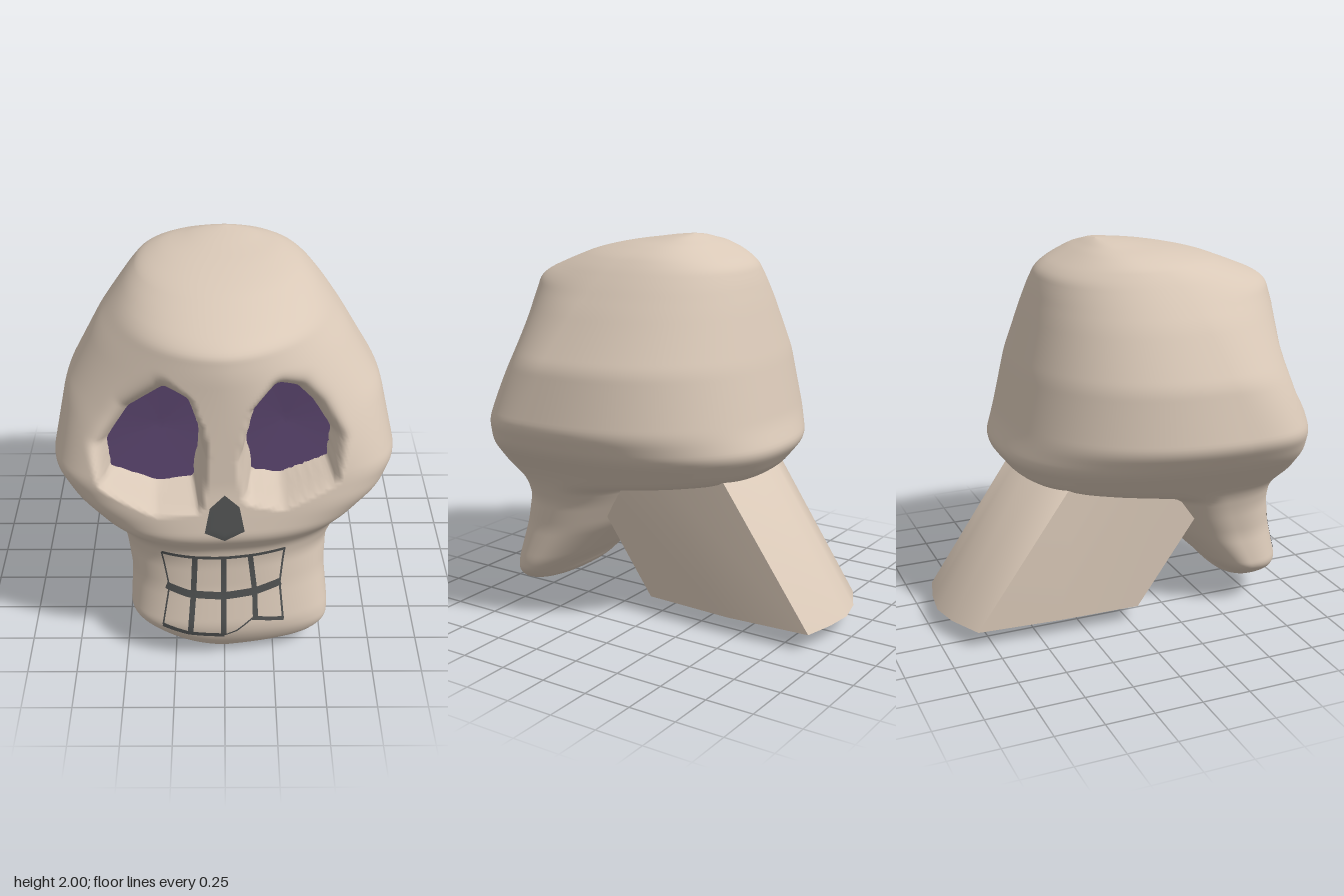
import * as THREE from 'three';
import { toCreasedNormals } from 'three/addons/utils/BufferGeometryUtils.js';

// Head profile by height: [y, left half width, right half width, front z, back z, widest z, front squareness]
const PROFILE = [
  [2.0, 0, 0, -0.04, -0.04, -0.04, 2],
  [1.985, 0.17, 0.18, 0.13, -0.09, 0, 2],
  [1.93, 0.34, 0.4, 0.47, -0.2, 0.1, 2],
  [1.86, 0.43, 0.47, 0.66, -0.33, 0.18, 2],
  [1.77, 0.51, 0.54, 0.88, -0.37, 0.23, 1.9],
  [1.65, 0.6, 0.63, 0.9, -0.41, 0.29, 1.85],
  [1.38, 0.77, 0.78, 0.91, -0.49, 0.37, 2.1],
  [1.07, 0.84, 0.84, 0.92, -0.56, 0.45, 3.1],
  [0.94, 0.78, 0.75, 0.94, -0.61, 0.47, 3.2],
  [0.8, 0.65, 0.62, 0.96, -0.5, 0.48, 2.8],
  [0.75, 0.61, 0.57, 0.93, -0.4, 0.48, 2.6],
  [0.69, 0.57, 0.53, 0.88, 0.15, 0.5, 2.5],
  [0.59, 0.52, 0.5, 0.87, 0.21, 0.53, 2.4],
  [0.43, 0.51, 0.47, 0.88, 0.31, 0.6, 2.5],
  [0.22, 0.53, 0.48, 0.92, 0.51, 0.7, 2.4],
  [0.15, 0.52, 0.38, 0.91, 0.59, 0.74, 2.3],
  [0.07, 0.4, 0.23, 0.87, 0.65, 0.77, 2.2],
  [0, 0, 0, 0.8, 0.8, 0.8, 2],
];

const LEFT_EYE = [[0.25, 1.53], [0.34, 1.5], [0.42, 1.41], [0.51, 1.25], [0.5, 1.08],
  [0.27, 0.99], [0.13, 1.02], [0.1, 1.22], [0.15, 1.45]];
const RIGHT_EYE = [[-0.28, 1.53], [-0.19, 1.5], [-0.14, 1.4], [-0.12, 1.25], [-0.15, 0.99],
  [-0.33, 0.98], [-0.55, 1.08], [-0.56, 1.24], [-0.45, 1.42]];
const NOSE = [[0, 1.045], [0.07, 0.98], [0.095, 0.85], [0, 0.8], [-0.095, 0.85], [-0.07, 0.98]];
const SKEW = 0.075; // the right cheek stands a little further forward

function linear(y) {
  let i = 0;
  while (i < PROFILE.length - 2 && y < PROFILE[i + 1][0]) i++;
  const a = PROFILE[i], b = PROFILE[i + 1], t = (a[0] - y) / (a[0] - b[0]);
  return a.map((v, k) => v + (b[k] - v) * t);
}

// Profile with its corners softened
function section(y) {
  const reach = Math.min(0.03, 2 - y, y);
  const sum = [0, 0, 0, 0, 0, 0, 0];
  for (let k = -2; k <= 2; k++) linear(y + (k / 2) * reach).forEach((v, i) => { sum[i] += v / 5; });
  return sum;
}

// Depth of the unpierced face at a point
function faceZ(x, y) {
  const [, xl, xr, zf, , zc, n] = section(y);
  const u = Math.min(1, Math.abs(x) / (x > 0 ? xl : xr));
  const k = Math.pow(1 - Math.pow(u, n), 1 / n);
  return zc + (zf - zc) * k - SKEW * x * k;
}

const socketFloor = (x, y) => 0.68 - 0.08 * x + 0.1 * Math.max(0, y - 1.3);

// Signed distance to an outline, negative inside
function outlineDistance(x, y, pts) {
  let best = Infinity, inside = false;
  pts.forEach(([ax, ay], i) => {
    const [bx, by] = pts[(i + 1) % pts.length];
    const dx = bx - ax, dy = by - ay;
    const t = THREE.MathUtils.clamp(((x - ax) * dx + (y - ay) * dy) / (dx * dx + dy * dy), 0, 1);
    best = Math.min(best, Math.hypot(x - ax - dx * t, y - ay - dy * t));
    if ((ay > y) !== (by > y) && x < ax + (dx * (y - ay)) / dy) inside = !inside;
  });
  return inside ? -best : best;
}

// Presses the eye sockets into the face: wide bevel at brow and temple, tight at nose and cheek
function carve(x, y, z) {
  const floor = socketFloor(x, y);
  if (z < floor) return z;
  const d = outlineDistance(x, y, x > 0 ? LEFT_EYE : RIGHT_EYE);
  const width = 0.04 + 0.1 * THREE.MathUtils.clamp((Math.abs(x) - 0.3) * 2.2 + (y - 1.3) * 2.5, 0, 1);
  if (d >= width) return z;
  if (d < 0) return floor + Math.max(-0.06, d * 2);
  return floor + (z - floor) * Math.sin((Math.PI / 2) * (d / width));
}

// Skins closed rings listed from top to bottom
function loft(rings) {
  const n = rings[0].length, index = [];
  for (let i = 0; i < rings.length - 1; i++) {
    for (let j = 0; j < n; j++) {
      const a = i * n + j, b = i * n + ((j + 1) % n);
      index.push(a, b, a + n, b, b + n, a + n);
    }
  }
  const geo = new THREE.BufferGeometry();
  geo.setAttribute('position', new THREE.Float32BufferAttribute(rings.flat(2), 3));
  geo.setIndex(index);
  geo.computeVertexNormals();
  return geo;
}

function skullGeometry() {
  const rows = 150, segs = 240, rings = [];
  for (let i = 0; i <= rows; i++) {
    const u = i / rows;
    const y = 2 - 2 * (0.55 * u + 0.45 * (1 - Math.cos(Math.PI * u)) / 2);
    const [, xl, xr, zf, zb, zc, nf] = section(y);
    const ring = [];
    for (let j = 0; j < segs; j++) {
      const t = (j / segs) * Math.PI * 2, c = Math.cos(t), s = Math.sin(t);
      const n = s > 0 ? nf : 2.3;
      const r = Math.pow(Math.pow(Math.abs(c), n) + Math.pow(Math.abs(s), n), -1 / n);
      const x = (c > 0 ? xl : xr) * r * c;
      let z = zc + (s > 0 ? zf - zc : zc - zb) * r * s;
      if (s > 0) z = carve(x, y, z - SKEW * x * r * s);
      ring.push([x, y, z]);
    }
    rings.push(ring);
  }
  return loft(rings);
}

// Thin plate filling an outline and following a depth rule
function plateGeometry(outline, depth, size = 1) {
  const cx = outline.reduce((s, p) => s + p[0], 0) / outline.length;
  const cy = outline.reduce((s, p) => s + p[1], 0) / outline.length;
  const rings = [];
  for (let k = 0; k <= 8; k++) {
    const f = (k / 8) * size;
    rings.push(outline.map(([px, py]) => {
      const x = cx + (px - cx) * f, y = cy + (py - cy) * f;
      return [x, y, depth(x, y)];
    }));
  }
  return loft(rings);
}

// Narrow strip laid on the face along a path
function stripGeometry(path, width) {
  const pts = [];
  path.slice(1).forEach((b, i) => {
    for (let k = i ? 1 : 0; k <= 8; k++) {
      pts.push(path[i].map((v, m) => v + (b[m] - v) * (k / 8)));
    }
  });
  const pos = [], index = [];
  pts.forEach(([x, y], i) => {
    const p = pts[Math.max(0, i - 1)], q = pts[Math.min(pts.length - 1, i + 1)];
    const len = Math.hypot(q[0] - p[0], q[1] - p[1]);
    const nx = (-(q[1] - p[1]) / len) * width / 2, ny = ((q[0] - p[0]) / len) * width / 2;
    for (const s of [1, -1]) pos.push(x + s * nx, y + s * ny, faceZ(x + s * nx, y + s * ny) + 0.007);
    if (i) index.push(2 * i - 2, 2 * i - 1, 2 * i, 2 * i - 1, 2 * i + 1, 2 * i);
  });
  const geo = new THREE.BufferGeometry();
  geo.setAttribute('position', new THREE.Float32BufferAttribute(pos, 3));
  geo.setIndex(index);
  geo.computeVertexNormals();
  return geo;
}

// Slanted neck stump running down and back from under the head
function neckGeometry() {
  const base = [[0.32, -0.45], [0.3, 0.04], [-0.05, 0.09], [-0.4, 0.04], [-0.39, -0.4],
    [-0.36, -0.83], [-0.18, -0.92], [-0.03, -0.955], [0.12, -0.94], [0.29, -0.9]];
  const bottom = base.map(([x, z]) => [x, 0.09, z]);
  const top = base.map(([x, z]) => [x * 1.06, 0.9, z + 0.56]);
  const lid = base.map(() => [0, 0.9, 0.15]);
  const floor = base.map(() => [-0.04, 0.09, -0.4]);
  return toCreasedNormals(loft([lid, top, bottom, floor]), 1.2);
}

export function createModel() {
  const material = (name, color) => {
    const m = new THREE.MeshStandardMaterial({ color, side: THREE.DoubleSide });
    m.name = name;
    return m;
  };
  const bone = material('bone', 0xd9c8b7);
  const purple = material('socket purple', 0x5e4872);
  const dark = material('dark grey', 0x505252);

  const model = new THREE.Group();
  model.name = 'skull';
  const add = (name, geo, mat, parent = model) => {
    const mesh = new THREE.Mesh(geo, mat);
    mesh.name = name;
    parent.add(mesh);
  };

  add('head', skullGeometry(), bone);
  add('neck', neckGeometry(), bone);
  add('leftEyeSocket', plateGeometry(LEFT_EYE, socketFloor, 1.06), purple);
  add('rightEyeSocket', plateGeometry(RIGHT_EYE, socketFloor, 1.06), purple);
  add('noseHole', plateGeometry(NOSE, (x, y) => faceZ(x, y) + 0.007), dark);

  // Gaps between the teeth
  const teeth = new THREE.Group();
  teeth.name = 'teeth';
  model.add(teeth);
  [
    ['upperGumLine', 0.018, [[-0.31, 0.655], [-0.15, 0.642], [0, 0.635], [0.15, 0.642], [0.3, 0.655]]],
    ['biteLine', 0.042, [[-0.29, 0.455], [-0.18, 0.42], [0, 0.405], [0.15, 0.42], [0.28, 0.455]]],
    ['lowerGumLineRight', 0.025, [[-0.31, 0.23], [-0.18, 0.19], [0, 0.172]]],
    ['lowerGumLineMiddle', 0.008, [[0, 0.172], [0.06, 0.2], [0.14, 0.27]]],
    ['lowerGumLineLeft', 0.022, [[0.14, 0.27], [0.3, 0.245]]],
    ['rightToothGap', 0.028, [[-0.145, 0.645], [-0.155, 0.42], [-0.172, 0.195]]],
    ['middleToothGap', 0.028, [[-0.005, 0.635], [-0.005, 0.172]]],
    ['leftToothGap', 0.026, [[0.125, 0.642], [0.15, 0.42], [0.155, 0.27]]],
    ['rightEdge', 0.008, [[-0.31, 0.655], [-0.275, 0.45], [-0.31, 0.23]]],
    ['leftEdge', 0.01, [[0.295, 0.655], [0.275, 0.45], [0.295, 0.245]]],
  ].forEach(([name, width, path]) => add(name, stripGeometry(path, width), dark, teeth));

  return model;
}
